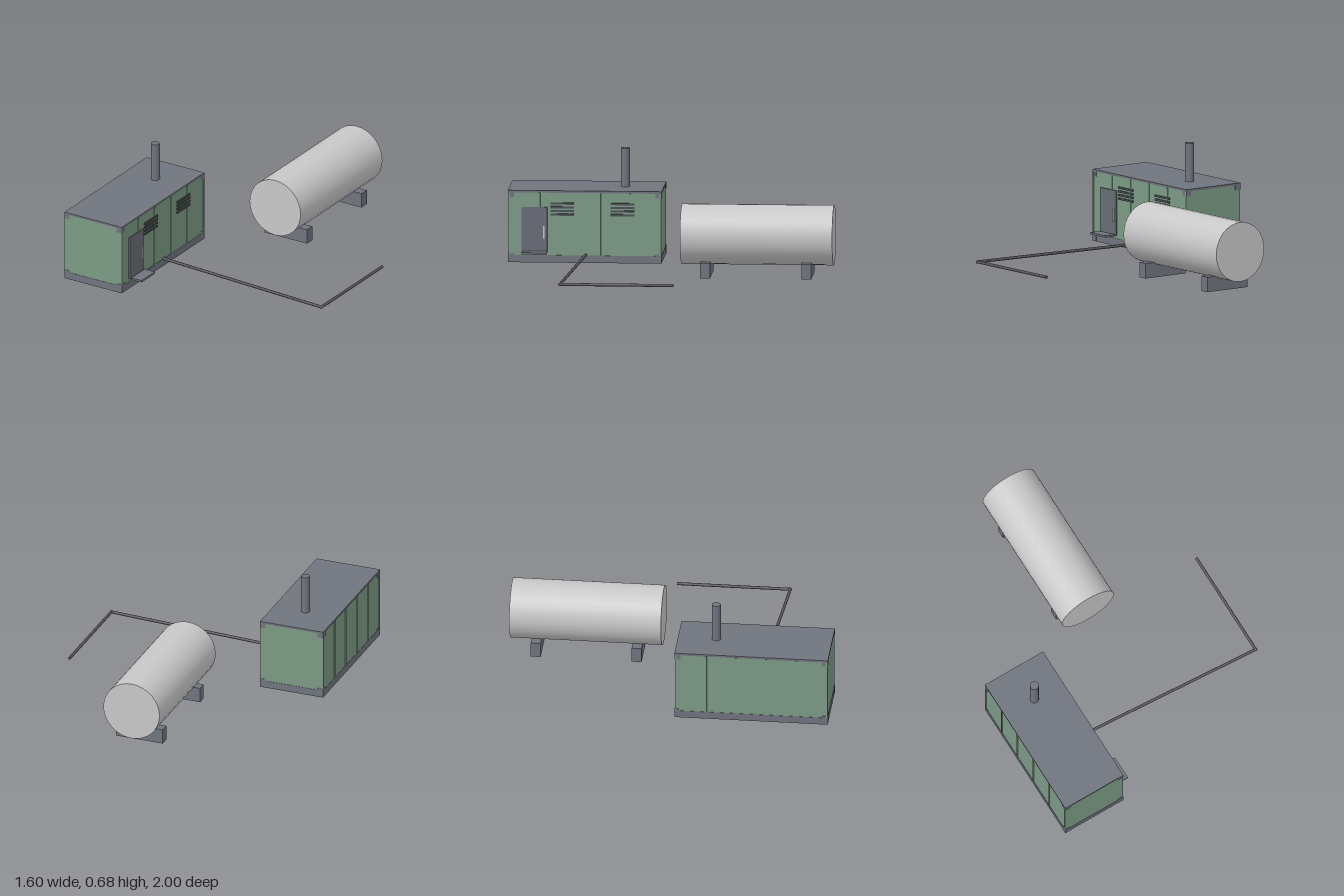
import * as THREE from 'three';

const mat = (name, color) => {
  const m = new THREE.MeshStandardMaterial({ color });
  m.name = name;
  return m;
};

export function createModel() {
  const green = mat('wall green', 0x7c9a85);
  const trim = mat('trim grey', 0x70747e);
  const doorGrey = mat('door grey', 0x686c75);
  const steel = mat('tank grey', 0xc8c8c8);
  const dark = mat('louver dark', 0x4a4e53);
  const pipeMat = mat('pipe dark', 0x555558);

  const model = new THREE.Group();
  model.name = 'generatorSet';
  const group = (name) => {
    const g = new THREE.Group();
    g.name = name;
    model.add(g);
    return g;
  };
  const add = (parent, name, geo, material) => {
    const m = new THREE.Mesh(geo, material);
    m.name = name;
    parent.add(m);
    return m;
  };
  // Box given by its extents along each axis
  const box = (parent, name, material, x0, x1, y0, y1, z0, z1) =>
    add(parent, name, new THREE.BoxGeometry(x1 - x0, y1 - y0, z1 - z0), material)
      .position.set((x0 + x1) / 2, (y0 + y1) / 2, (z0 + z1) / 2);
  // Round bar between two points
  const bar = (parent, name, material, a, b, r, sides) => {
    const d = b.clone().sub(a);
    const m = add(parent, name, new THREE.CylinderGeometry(r, r, d.length(), sides), material);
    m.position.copy(a).add(b).multiplyScalar(0.5);
    m.quaternion.setFromUnitVectors(new THREE.Vector3(0, 1, 0), d.normalize());
  };

  // Container: skid, walls and roof
  const X0 = -0.797, X1 = -0.393, Z0 = 0.073, Z1 = 0.997;
  const container = group('container');
  box(container, 'skid', trim, X0 - 0.002, X1 + 0.002, 0, 0.045, Z0 - 0.002, Z1 + 0.002);
  box(container, 'walls', green, X0, X1, 0.045, 0.426, Z0, Z1);
  box(container, 'roof', trim, X0 - 0.003, X1 + 0.003, 0.426, 0.439, Z0 - 0.003, Z1 + 0.003);

  // Corner castings, top and bottom
  const c = 0.033, o = 0.003;
  for (const [xa, xb] of [[X0 - o, X0 + c], [X1 - c, X1 + o]])
    for (const [za, zb] of [[Z0 - o, Z0 + c], [Z1 - c, Z1 + o]])
      for (const [ya, yb] of [[0.001, 0.057], [0.398, 0.432]])
        box(container, 'cornerCasting', trim, xa, xb, ya, yb, za, zb);

  // Vertical ribs along both long walls
  for (let i = 0; i <= 5; i++) {
    const z = Z0 + 0.005 + (i * (Z1 - Z0 - 0.01)) / 5;
    for (const x of [X0, X1])
      box(container, 'wallRib', green, x - 0.004, x + 0.004, 0.046, 0.425, z - 0.005, z + 0.005);
  }

  // Door, handle and step
  box(container, 'door', doorGrey, X1, -0.385, 0.065, 0.338, 0.762, 0.918);
  box(container, 'doorHandle', steel, -0.385, -0.377, 0.147, 0.225, 0.778, 0.786);
  box(container, 'step', trim, -0.378, -0.304, 0.06, 0.072, 0.762, 0.912);

  // Louver slats
  for (const z of [0.235, 0.6])
    for (let i = 0; i < 4; i++) {
      const y = 0.287 + i * 0.0225;
      box(container, 'louver', dark, X1, X1 + 0.007, y, y + 0.012, z, z + 0.143);
    }

  // Exhaust stack
  bar(container, 'exhaustStack', trim, new THREE.Vector3(-0.593, 0.43, 0.303),
    new THREE.Vector3(-0.593, 0.675, 0.303), 0.027, 24);

  // Fuel tank on two cradles
  const tank = group('fuelTank');
  bar(tank, 'tank', steel, new THREE.Vector3(0.02, 0.248, -1),
    new THREE.Vector3(0.02, 0.248, -0.08), 0.182, 32);
  for (const z of [-0.23, -0.842])
    box(tank, 'cradle', trim, -0.132, 0.172, 0, 0.092, z - 0.03, z + 0.03);

  // Fuel line with a rounded elbow
  const line = group('fuelLine');
  const start = new THREE.Vector3(-0.395, 0.048, 0.53);
  const elbow = new THREE.Vector3(0.786, 0.048, 0.606);
  const end = new THREE.Vector3(0.786, 0.048, -0.08);
  bar(line, 'pipe', pipeMat, start, elbow, 0.009, 12);
  bar(line, 'pipe', pipeMat, elbow, end, 0.009, 12);
  add(line, 'elbow', new THREE.SphereGeometry(0.01, 12, 8), pipeMat).position.copy(elbow);

  return model;
}
